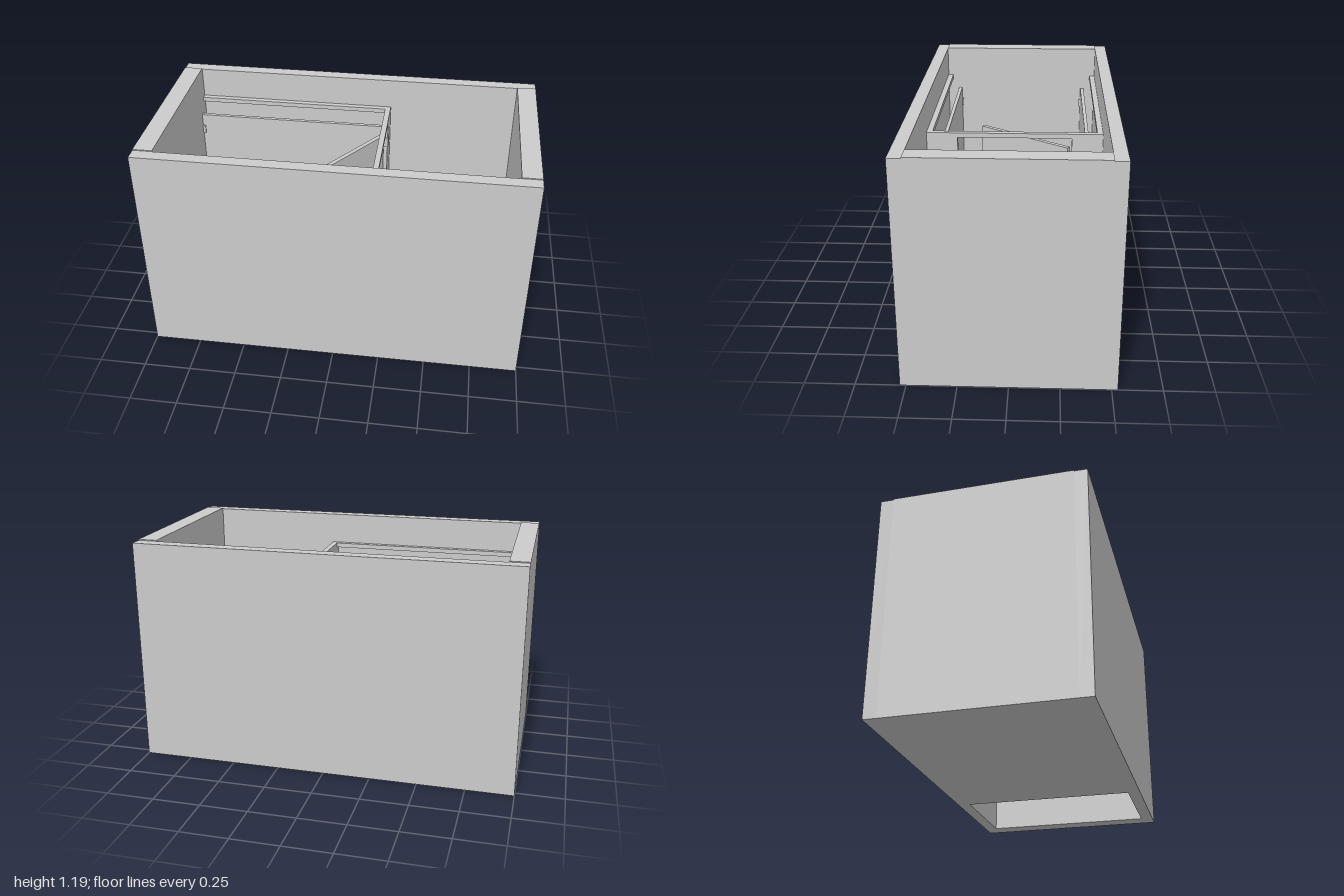
import * as THREE from 'three';

const grey = new THREE.MeshStandardMaterial({ color: 0xcccccc, flatShading: true });
const white = new THREE.MeshStandardMaterial({ color: 0xf2fafa, flatShading: true, side: THREE.DoubleSide });

export function createModel() {
  const group = new THREE.Group();

  // Box given by its low and high corner
  function box(name, x0, x1, y0, y1, z0, z1, material = grey, parent = group) {
    const mesh = new THREE.Mesh(new THREE.BoxGeometry(x1 - x0, y1 - y0, z1 - z0), material);
    mesh.position.set((x0 + x1) / 2, (y0 + y1) / 2, (z0 + z1) / 2);
    mesh.name = name;
    parent.add(mesh);
    return mesh;
  }
  // Box on both sides of the z = 0 plane, between distances z0 and z1
  function pair(name, x0, x1, y0, y1, z0, z1) {
    box(name + 'Left', x0, x1, y0, y1, z0, z1);
    box(name + 'Right', x0, x1, y0, y1, -z1, -z0);
  }

  // Room: four walls and a floor that stops short of the entrance end
  box('frontWall', -1, 1, 0, 1.187, 0.463, 0.53);
  box('backWall', -1, 1, 0, 1.187, -0.53, -0.463);
  box('leftWall', 0.9, 1, 0, 1.192, -0.463, 0.463);
  box('rightWall', -1, -0.9, 0, 1.192, -0.463, 0.463);
  box('floor', -0.9, 0.36, 0, 0.025, -0.463, 0.463);

  // Stall frame: pilasters beside the doorway and rails on top
  pair('pilaster', 0.17, 0.2, 0.025, 0.995, 0.3, 0.463);
  pair('sideRail', -0.9, 0.17, 0.995, 1.02, 0.433, 0.463);
  box('headRail', 0.17, 0.2, 0.995, 1.02, -0.463, 0.463);

  // Side partitions with wall brackets
  pair('partition', -0.9, 0.17, 0.13, 0.935, 0.378, 0.398);
  for (const y of [0.22, 0.82]) {
    pair('rearBracket', -0.9, -0.885, y, y + 0.045, 0.37, 0.406);
    pair('frontBracket', 0.155, 0.17, y, y + 0.045, 0.37, 0.406);
  }

  // Door standing open into the stall
  const door = new THREE.Group();
  door.name = 'door';
  door.position.set(0.17, 0, -0.285);
  door.rotation.y = -Math.atan2(0.335, 0.475);
  box('doorPanel', -0.012, 0.012, 0.13, 0.935, 0, 0.58, grey, door);
  group.add(door);
  for (const y of [0.2, 0.86]) {
    box('hinge', 0.165, 0.205, y, y + 0.05, -0.34, -0.285);
  }

  // Toilet: cistern, neck and six-sided bowl
  box('cistern', -0.9, -0.84, 0.26, 0.54, -0.105, 0.105, white);
  box('bowlNeck', -0.845, -0.81, 0.1, 0.3, -0.05, 0.05, white);

  const hex = (k) => [[0.13, 0.06], [0, 0.11], [-0.13, 0.06], [-0.13, -0.06], [0, -0.11], [0.13, -0.06]]
    .map(([x, z]) => [x * k, z * k]);
  // Rings run up the outside, over the rim and down the inside
  const rings = [[0.72, 0.025], [0.72, 0.1], [1, 0.25], [1, 0.31], [0.85, 0.31], [0.78, 0.2], [0.78, 0.12]];
  const positions = [];
  const index = [];
  rings.forEach(([k, y], r) => {
    hex(k).forEach(([x, z], i) => {
      positions.push(x, y, z);
      if (r === rings.length - 1) return;
      const a = r * 6 + i, b = r * 6 + (i + 1) % 6;
      index.push(a, b, a + 6, b, b + 6, a + 6);
    });
  });
  const bowlGeometry = new THREE.BufferGeometry();
  bowlGeometry.setAttribute('position', new THREE.Float32BufferAttribute(positions, 3));
  bowlGeometry.setIndex(index);
  bowlGeometry.computeVertexNormals();
  const bowl = new THREE.Mesh(bowlGeometry, white);
  bowl.name = 'bowl';
  bowl.position.x = -0.695;
  group.add(bowl);

  // Grey bottom of the bowl
  const basin = new THREE.Shape(hex(0.78).map(([x, z]) => new THREE.Vector2(x, z)));
  const basinMesh = new THREE.Mesh(new THREE.ShapeGeometry(basin), grey);
  basinMesh.name = 'bowlBottom';
  basinMesh.rotation.x = -Math.PI / 2;
  basinMesh.position.set(-0.695, 0.12, 0);
  group.add(basinMesh);

  return group;
}
